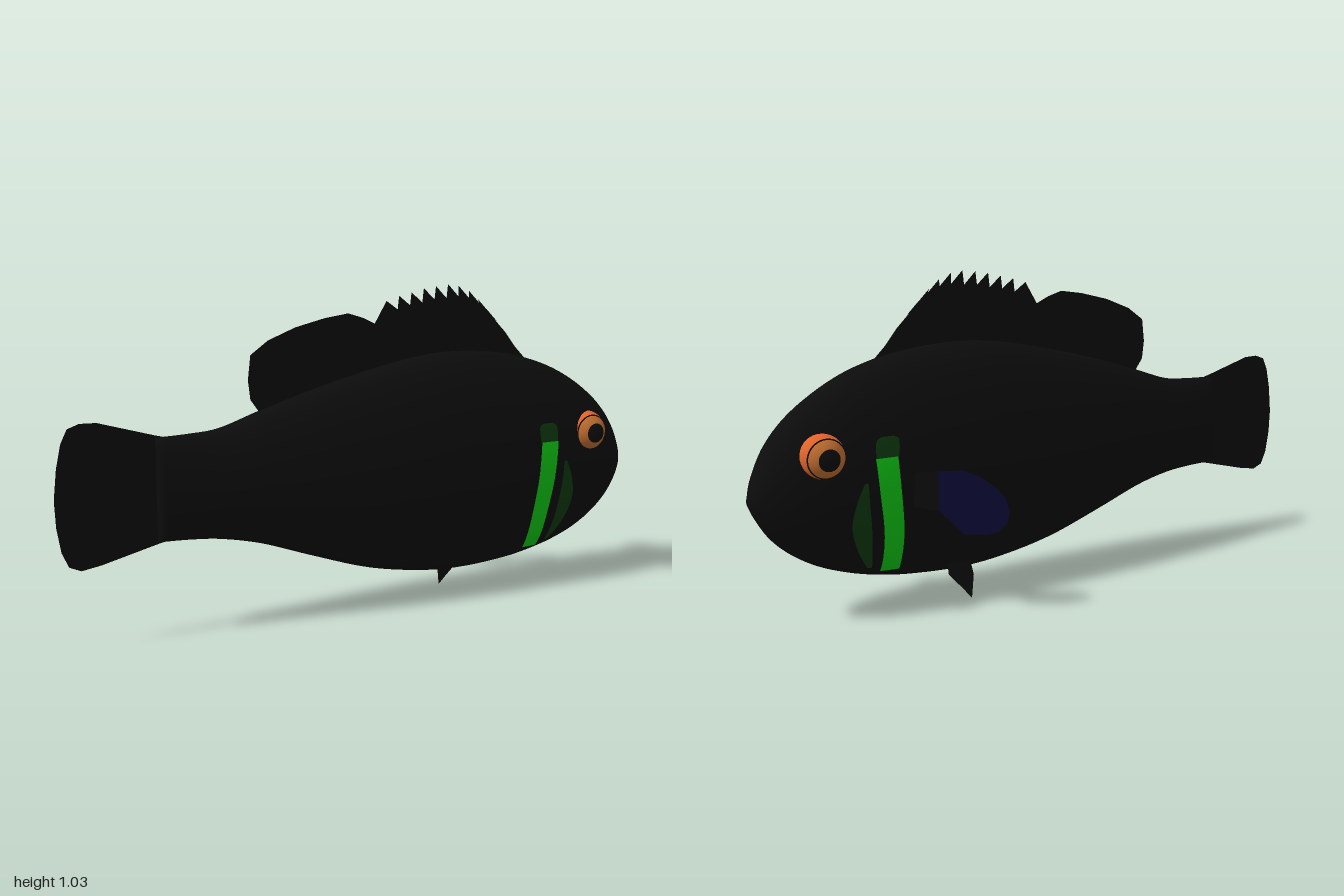
import * as THREE from 'three';

const MID = 0.07; // z of the fish's centre plane
const mat = (name, color, side = THREE.FrontSide) => {
  const m = new THREE.MeshStandardMaterial({ color, side });
  m.name = name;
  return m;
};

// Body stations: x, top y, bottom y, half width
const stations = [
  [-0.7, 0.608, 0.293, 0.04], [-0.6, 0.612, 0.29, 0.052], [-0.5, 0.622, 0.28, 0.066], [-0.37, 0.665, 0.25, 0.085],
  [-0.2, 0.718, 0.19, 0.106], [0, 0.77, 0.125, 0.122], [0.2, 0.808, 0.09, 0.131], [0.35, 0.815, 0.083, 0.133],
  [0.5, 0.802, 0.093, 0.133], [0.6, 0.78, 0.108, 0.131], [0.7, 0.745, 0.133, 0.125], [0.8, 0.69, 0.172, 0.114],
  [0.88, 0.628, 0.222, 0.096], [0.94, 0.557, 0.28, 0.072], [0.98, 0.475, 0.345, 0.042], [1, 0.41, 0.39, 0.008],
];
const heights = new THREE.CatmullRomCurve3(stations.map(s => new THREE.Vector3(s[0], s[1], s[2])), false, 'catmullrom');
const widths = new THREE.CatmullRomCurve3(stations.map(s => new THREE.Vector3(s[0], s[3], 0)), false, 'catmullrom');

function section(u) {
  const p = heights.getPoint(u), w = widths.getPoint(u).y;
  return { x: p.x, c: (p.y + p.z) / 2, h: (p.y - p.z) / 2, w };
}
function sectionAt(x) {
  let lo = 0, hi = 1;
  for (let i = 0; i < 30; i++) {
    const m = (lo + hi) / 2;
    if (heights.getPoint(m).x < x) lo = m; else hi = m;
  }
  return section(lo);
}

function build(pos, idx) {
  const g = new THREE.BufferGeometry();
  g.setAttribute('position', new THREE.Float32BufferAttribute(pos, 3));
  g.setIndex(idx);
  g.computeVertexNormals();
  return g;
}

// Elliptical rings swept along x
function bodyGeometry() {
  const N = 75, R = 48, pos = [], idx = [];
  for (let i = 0; i <= N; i++) {
    const s = section(i / N);
    for (let j = 0; j < R; j++) {
      const a = (j / R) * Math.PI * 2;
      pos.push(s.x, s.c + s.h * Math.cos(a), MID + s.w * Math.sin(a));
    }
  }
  for (let i = 0; i < N; i++) for (let j = 0; j < R; j++) {
    const a = i * R + j, b = i * R + (j + 1) % R;
    idx.push(a, b, a + R, b, b + R, a + R);
  }
  for (let j = 1; j < R - 1; j++) {
    idx.push(0, j + 1, j); // tail end
    idx.push(N * R, N * R + j, N * R + j + 1); // nose
  }
  return build(pos, idx);
}

// Painted patch hugging the flank; rows are [y, xMin, xMax]
function patchGeometry(rows, side) {
  const curve = new THREE.CatmullRomCurve3(rows.map(r => new THREE.Vector3(...r)));
  const N = 28, M = 5, pos = [], idx = [];
  for (let i = 0; i <= N; i++) {
    const r = curve.getPoint(i / N);
    for (let j = 0; j <= M; j++) {
      const x = THREE.MathUtils.lerp(r.y, r.z, j / M), s = sectionAt(x);
      const co = THREE.MathUtils.clamp((r.x - s.c) / s.h, -1, 1), si = Math.sqrt(1 - co * co);
      const n = new THREE.Vector2(co / s.h, si / s.w).setLength(0.004);
      pos.push(x, r.x + n.x, MID + side * (s.w * si + n.y));
      if (i < N && j < M) {
        const a = i * (M + 1) + j, b = a + M + 1;
        if (side > 0) idx.push(a, a + 1, b, a + 1, b + 1, b);
        else idx.push(a, b, a + 1, a + 1, b, b + 1);
      }
    }
  }
  return build(pos, idx);
}

// Flat fin from an outline, vertices then placed by a rule
function finGeometry(points, place) {
  const g = new THREE.ShapeGeometry(new THREE.Shape(points.map(p => new THREE.Vector2(...p))));
  const p = g.attributes.position;
  for (let i = 0; i < p.count; i++) p.setXYZ(i, ...place(p.getX(i), p.getY(i)));
  g.computeVertexNormals();
  return g;
}

export function createModel() {
  const model = new THREE.Group();
  model.name = 'fish';
  const black = mat('skin black', 0x0c0c0c);
  const finBlack = mat('fin black', 0x0c0c0c, THREE.DoubleSide);
  const navy = mat('fin navy', 0x0a0a32, THREE.DoubleSide);
  const green = mat('stripe green', 0x10c814, THREE.DoubleSide);
  const darkGreen = mat('gill dark green', 0x0e380f, THREE.DoubleSide);
  const orange = mat('eye orange', 0xe0642a);
  const amber = mat('iris amber', 0xbe6c30);
  const add = (name, geo, material, parent = model) => {
    const m = new THREE.Mesh(geo, material);
    m.name = name;
    parent.add(m);
    return m;
  };

  add('body', bodyGeometry(), black);

  const flat = (x, y) => [x, y, MID];
  add('tailFin', finGeometry([
    [-0.66, 0.605], [-0.7, 0.615], [-0.87, 0.664], [-0.92, 0.665], [-0.955, 0.652], [-0.975, 0.61], [-0.99, 0.54], [-1, 0.45],
    [-0.997, 0.37], [-0.985, 0.295], [-0.965, 0.25], [-0.93, 0.235], [-0.87, 0.245], [-0.7, 0.288], [-0.66, 0.297],
  ], flat), finBlack);

  add('softDorsalFin', finGeometry([
    [-0.36, 0.64], [-0.375, 0.665], [-0.4, 0.7], [-0.407, 0.76], [-0.398, 0.835], [-0.34, 0.877], [-0.25, 0.913],
    [-0.15, 0.938], [-0.07, 0.95], [-0.02, 0.935], [0.03, 0.912], [0.06, 0.76],
  ], flat), finBlack);

  // Spiny dorsal fin with a row of back-swept teeth
  const tips = [[0.065, 0.985], [0.11, 1.0], [0.155, 1.01], [0.2, 1.022], [0.245, 1.028], [0.29, 1.033], [0.33, 1.027],
    [0.37, 1.01], [0.405, 0.982], [0.44, 0.948], [0.475, 0.91]];
  const spiny = [[0, 0.75], [0.02, 0.91]];
  tips.forEach(([x, y], i) => {
    spiny.push([x, y]);
    const drop = 0.028 + 0.012 * Math.min(i, 4) / 4;
    spiny.push([x + 0.04, y - drop]);
  });
  spiny.push([0.555, 0.82], [0.592, 0.783], [0.56, 0.74]);
  add('spinyDorsalFin', finGeometry(spiny, flat), finBlack);

  // Pectoral fin on the right flank: outline in (outward distance, y), swept back
  const sweep = (d, y) => [0.51 - (d - 0.075) * 1.52, y, -d];
  add('pectoralFinBase', finGeometry([[0.05, 0.35], [0.1, 0.335], [0.1, 0.457], [0.05, 0.45]], sweep), finBlack);
  add('pectoralFin', finGeometry([
    [0.1, 0.335], [0.12, 0.3], [0.14, 0.262], [0.18, 0.26], [0.2, 0.272], [0.213, 0.3], [0.217, 0.335], [0.21, 0.375],
    [0.193, 0.41], [0.17, 0.44], [0.14, 0.461], [0.1, 0.457],
  ], sweep), navy);
  add('pelvicFin', finGeometry([[0.32, 0], [0.345, 0.032], [0.39, 0.085], [0.39, 0.13], [0.31, 0.13], [0.303, 0.07]],
    (x, y) => [x, y, -0.015 + 0.25 * y]), finBlack);

  for (const side of [1, -1]) {
    const word = side > 0 ? 'left' : 'right';
    add(word + 'Stripe', patchGeometry([[0.14, 0.56, 0.62], [0.27, 0.563, 0.626], [0.4, 0.575, 0.642], [0.51, 0.583, 0.652]], side), green);
    add(word + 'StripeTop', patchGeometry([[0.51, 0.58, 0.65], [0.54, 0.576, 0.65], [0.562, 0.577, 0.645], [0.572, 0.59, 0.63]], side), darkGreen);
    add(word + 'GillMark', patchGeometry([[0.16, 0.65, 0.665], [0.23, 0.66, 0.705], [0.31, 0.668, 0.727], [0.38, 0.675, 0.715], [0.44, 0.678, 0.69]], side), darkGreen);

    // Eye: pole of each sphere looks outward
    const eye = new THREE.Group();
    eye.name = word + 'Eye';
    const split = 0.95;
    add('eyeball', new THREE.SphereGeometry(0.071, 32, 16, 0, Math.PI * 2, split, Math.PI - split), orange, eye);
    add('iris', new THREE.SphereGeometry(0.071, 32, 10, 0, Math.PI * 2, 0, split), amber, eye);
    add('pupil', new THREE.SphereGeometry(0.073, 32, 6, 0, Math.PI * 2, 0, 0.47), black, eye);
    const rim = add('irisRim', new THREE.TorusGeometry(0.071 * Math.sin(split), 0.0025, 6, 40), black, eye);
    rim.rotation.x = Math.PI / 2;
    rim.position.y = 0.071 * Math.cos(split);
    eye.rotation.x = side * Math.PI / 2;
    eye.position.set(0.798, 0.527, MID + side * 0.075);
    model.add(eye);
  }
  return model;
}
